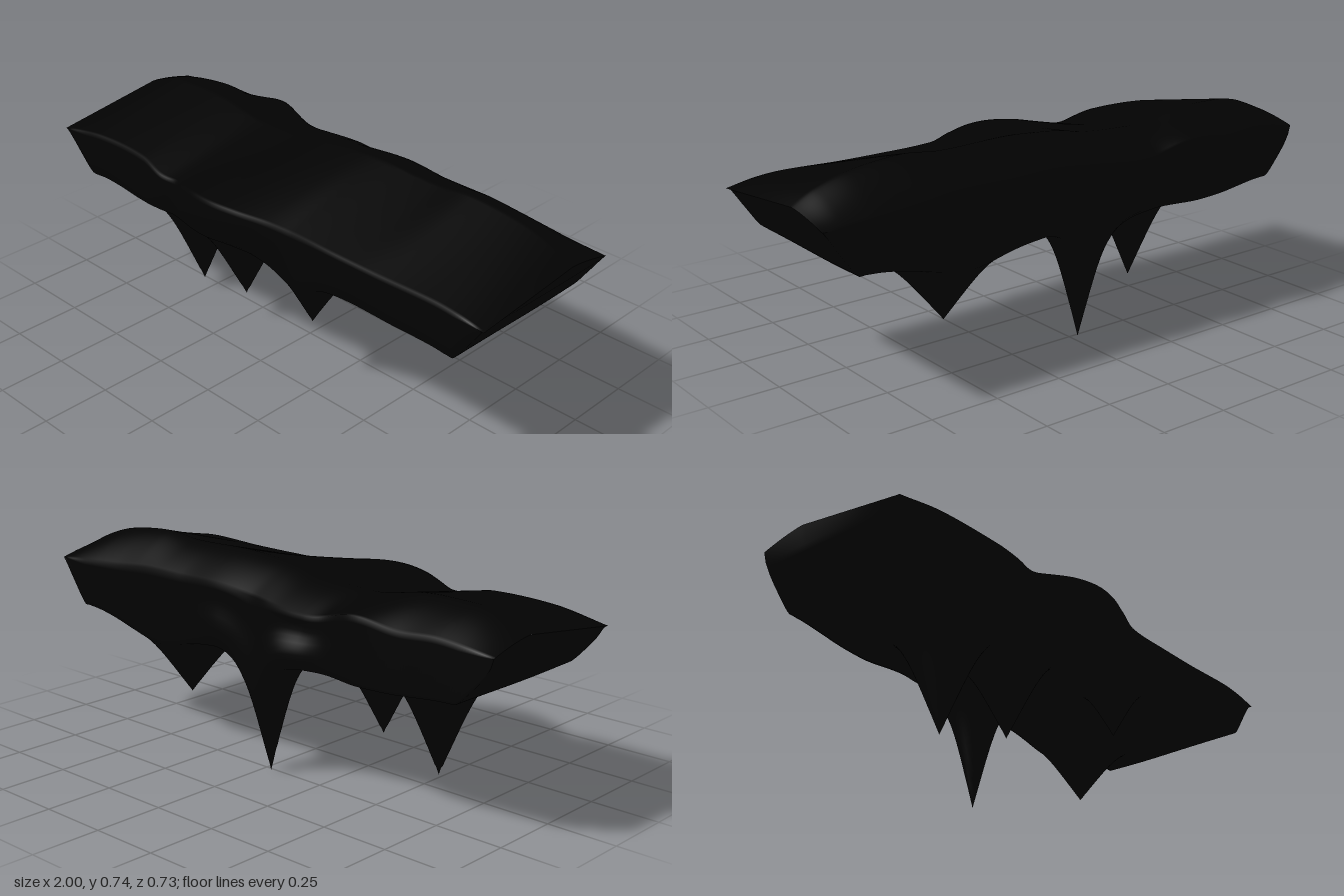
import * as THREE from 'three';

const { lerp, clamp } = THREE.MathUtils;

// Smooth interpolation through [x, y] points (cubic Hermite)
function smooth(p) {
  const slope = (i) => {
    const a = p[Math.max(i - 1, 0)], b = p[Math.min(i + 1, p.length - 1)];
    return (b[1] - a[1]) / (b[0] - a[0]);
  };
  return (x) => {
    let i = 0;
    while (i < p.length - 2 && x > p[i + 1][0]) i++;
    const w = p[i + 1][0] - p[i][0];
    const t = clamp((x - p[i][0]) / w, 0, 1);
    const t2 = t * t, t3 = t2 * t;
    return (2 * t3 - 3 * t2 + 1) * p[i][1] + (t3 - 2 * t2 + t) * w * slope(i)
      + (3 * t2 - 2 * t3) * p[i + 1][1] + (t3 - t2) * w * slope(i + 1);
  };
}

// Heights along x: crest line, front and back rims of the top, underside
const crest = smooth([[-1, 0.65], [-0.93, 0.68], [-0.87, 0.7], [-0.8, 0.71], [-0.6, 0.71], [-0.42, 0.68], [-0.3, 0.68],
  [-0.15, 0.69], [-0.05, 0.71], [0.1, 0.725], [0.2, 0.73], [0.45, 0.725], [0.6, 0.738], [0.8, 0.718], [0.92, 0.683], [1, 0.64]]);
const frontRim = smooth([[-1, 0.59], [-0.8, 0.625], [-0.55, 0.628], [-0.4, 0.598], [-0.2, 0.63],
  [-0.05, 0.64], [0.1, 0.632], [0.2, 0.618], [0.55, 0.615], [0.8, 0.622], [0.9, 0.615], [1, 0.597]]);
const backRim = smooth([[-1, 0.615], [-0.8, 0.64], [-0.65, 0.635], [-0.48, 0.655], [-0.27, 0.605],
  [-0.03, 0.625], [0.14, 0.64], [0.35, 0.64], [0.52, 0.64], [0.7, 0.622], [0.85, 0.612], [1, 0.605]]);
const under = smooth([[-1, 0.6], [-0.97, 0.55], [-0.925, 0.498], [-0.875, 0.45], [-0.85, 0.447], [-0.8, 0.446], [-0.6, 0.432],
  [0.6, 0.432], [0.8, 0.446], [0.86, 0.448], [0.885, 0.45], [0.945, 0.53], [0.99, 0.595], [1, 0.605]]);

// Front and back edges along x
const frontEdge = smooth([[-1, 0.29], [-0.7, 0.285], [-0.55, 0.29], [-0.45, 0.303], [-0.37, 0.297], [-0.3, 0.322],
  [-0.2, 0.35], [-0.1, 0.362], [0, 0.35], [0.1, 0.32], [0.2, 0.292], [0.4, 0.29], [1, 0.29]]);
const backEdge = smooth([[-1, -0.32], [-0.7, -0.338], [-0.48, -0.352], [-0.34, -0.335], [-0.25, -0.36],
  [-0.18, -0.367], [-0.1, -0.358], [0, -0.335], [0.17, -0.34], [0.35, -0.322], [1, -0.322]]);
// Inward offset of the bulging back wall from its top edge to its bottom edge
const backInset = smooth([[0, 0.02], [0.3, 0.03], [0.6, 0.004], [0.75, 0], [0.88, 0.006], [1, 0.03]]);

// Hanging spikes: tip position and spread in x and z
const spikes = [
  { x: -0.53, y: 0.03, z: 0.04, kx: 0.16, kz: 0.165 },
  { x: -0.25, y: 0.1, z: 0.08, kx: 0.155, kz: 0.17 },
  { x: -0.03, y: 0, z: -0.26, kx: 0.11, kz: 0.1 },
  { x: 0.2, y: 0.23, z: 0.19, kx: 0.13, kz: 0.11 },
  { x: 0.47, y: 0.155, z: -0.165, kx: 0.225, kz: 0.175 },
];

// Top surface: falls from the crest line at z = -0.14 to both rims
function topY(x, z) {
  const d = z + 0.14;
  return d > 0
    ? lerp(crest(x), frontRim(x), d / (frontEdge(x) + 0.14))
    : lerp(crest(x), backRim(x), (d / (backEdge(x) + 0.14)) ** 1.5);
}

function bottomY(x, z) {
  // the underside meets the top along both ends
  if (Math.abs(x) > 0.999) return topY(x, z);
  const rise = 0.035 * Math.max(z / 0.3, 0) ** 2 * Math.max(1 - (x / 0.85) ** 4, 0);
  const base = under(x) + rise;
  let y = base;
  for (const s of spikes) {
    const r = Math.hypot((x - s.x) / s.kx, (z - s.z) / s.kz);
    // straight-sided cone that levels out into the underside
    y = Math.min(y, s.y + (base - s.y) * r / (1 + r ** 4) ** 0.25);
  }
  return Math.min(y, topY(x, z) - 0.004);
}

// Point on the underside, pulled exactly onto a spike tip when next to one
function bottomPoint(x, z, step) {
  const tip = spikes.find((s) => Math.abs(x - s.x) < 0.004 && Math.abs(z - s.z) <= step / 2);
  return tip ? [tip.y, tip.z] : [bottomY(x, z), z];
}

// Closed cross-section at x: top, front wall, underside, back wall
function section(x, nz, nw) {
  const loop = [];
  const zf = frontEdge(x), zb = backEdge(x);
  const bulge = clamp((-0.32 - zb) / 0.047, 0, 1) * clamp((x + 0.5) * 4, 0, 1);
  const frontZ = (t) => zf - (0.012 + 0.8 * Math.max(zf - 0.29, 0)) * t ** 3;
  const backZ = (t) => zb + backInset(t) * bulge;
  const f1 = frontZ(1), b0 = backZ(0), b1 = backZ(1);
  const topF = topY(x, zf), botF = bottomY(x, f1), topB = topY(x, b0), botB = bottomY(x, b1);
  for (let j = 0; j < nz; j++) {
    const z = lerp(b0, zf, j / nz);
    loop.push([topY(x, z), z]);
  }
  for (let j = 0; j < nw; j++) loop.push([lerp(topF, botF, j / nw), frontZ(j / nw)]);
  for (let j = 0; j < nz; j++) loop.push(bottomPoint(x, lerp(f1, b1, j / nz), (f1 - b1) / nz));
  for (let j = 0; j < nw; j++) loop.push([lerp(botB, topB, j / nw), backZ(1 - j / nw)]);
  return loop;
}

function ledgeGeometry() {
  const nx = 200, nz = 60, nw = 10, n = 2 * (nz + nw);
  const positions = [], index = [];
  for (let i = 0; i <= nx; i++) {
    const x = -1 + (2 * i) / nx;
    for (const [y, z] of section(x, nz, nw)) positions.push(x, y, z);
  }
  for (let i = 0; i < nx; i++) {
    for (let j = 0; j < n; j++) {
      const a = i * n + j, d = i * n + ((j + 1) % n);
      index.push(a, d, a + n, d, d + n, a + n);
    }
  }
  const g = new THREE.BufferGeometry();
  g.setAttribute('position', new THREE.Float32BufferAttribute(positions, 3));
  g.setIndex(index);
  g.computeVertexNormals();
  return g;
}

export function createModel() {
  const group = new THREE.Group();
  group.name = 'rockLedge';
  // Dark rock slab with spikes hanging from its underside
  const rock = new THREE.Mesh(ledgeGeometry(), new THREE.MeshStandardMaterial({ color: 0x020202 }));
  rock.name = 'ledgeWithHangingSpikes';
  group.add(rock);
  return group;
}
